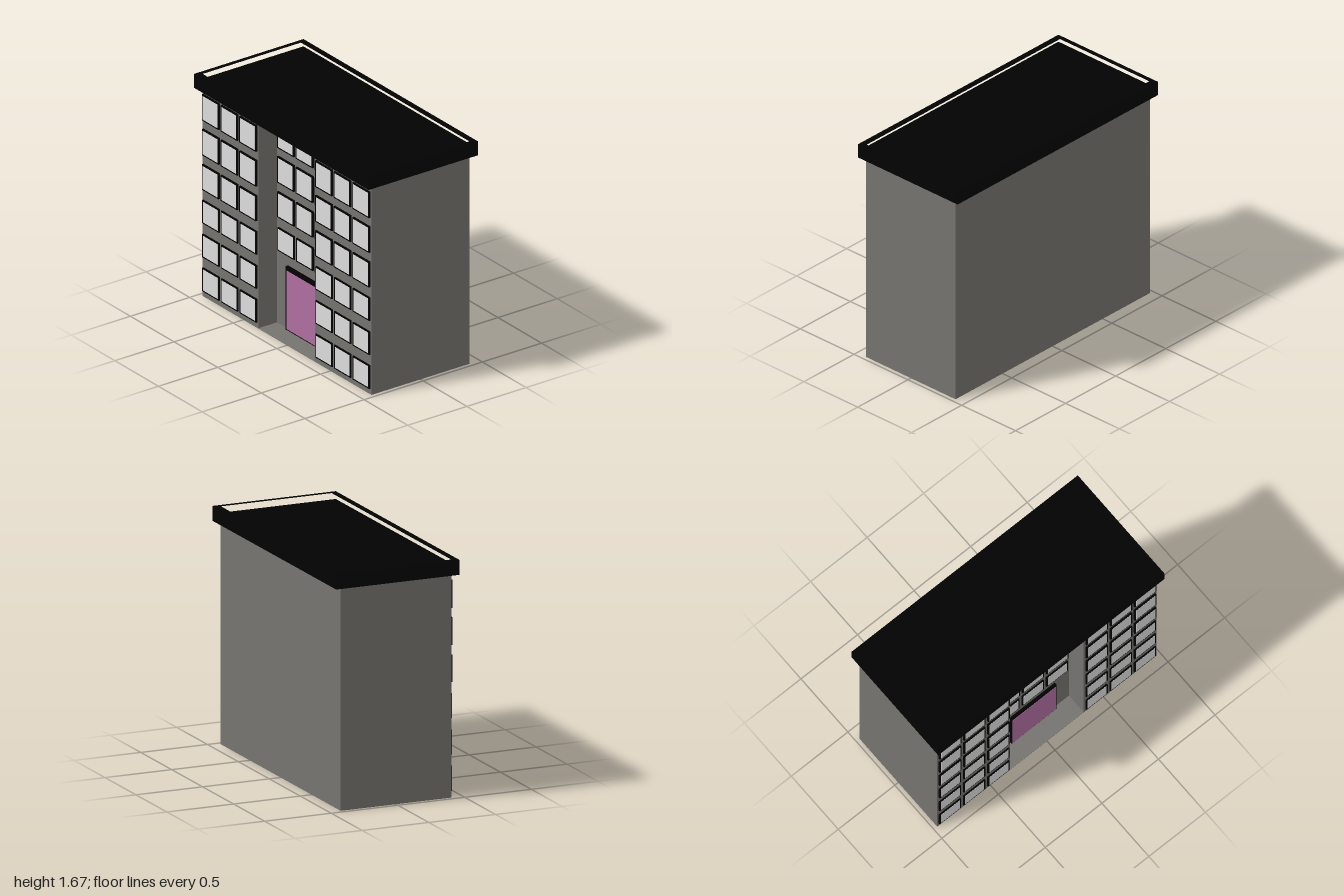
import * as THREE from 'three';

const mat = (name, color) => {
  const m = new THREE.MeshStandardMaterial({ color });
  m.name = name;
  return m;
};

export function createModel() {
  const wall = mat('concrete', 0x76746f);
  const black = mat('black', 0x020202);
  const glass = mat('paleGlass', 0xdcdcdc);
  const plum = mat('plumDoor', 0xb06fa0);

  const model = new THREE.Group();
  model.name = 'apartmentBlock';

  // box given by its limits on each axis
  const box = (parent, name, material, [x0, x1], [y0, y1], [z0, z1]) => {
    const mesh = new THREE.Mesh(new THREE.BoxGeometry(x1 - x0, y1 - y0, z1 - z0), material);
    mesh.position.set((x0 + x1) / 2, (y0 + y1) / 2, (z0 + z1) / 2);
    mesh.name = name;
    parent.add(mesh);
  };

  // footprint of [x, z] points raised from y0 to y1, with an optional hole
  const raise = (name, material, points, y0, y1, hole) => {
    const toPlan = (list) => list.map(([x, z]) => new THREE.Vector2(x, -z));
    const shape = new THREE.Shape(toPlan(points));
    if (hole) shape.holes.push(new THREE.Path(toPlan(hole)));
    const geo = new THREE.ExtrudeGeometry(shape, { depth: y1 - y0, bevelEnabled: false });
    const mesh = new THREE.Mesh(geo.rotateX(-Math.PI / 2), material);
    mesh.position.y = y0;
    mesh.name = name;
    model.add(mesh);
  };
  const rect = (x, z) => [[-x, -z], [x, -z], [x, z], [-x, z]];

  const X = 0.415, Z = 0.97, H = 1.57;   // wall limits
  const RX = -0.258, RZ = 0.325;         // entrance recess back and half width

  // walls with a full-height recess on the -x side, and the recess floor
  raise('walls', wall, [
    [-X, -Z], [X, -Z], [X, Z], [-X, Z], [-X, RZ], [RX, RZ], [RX, -RZ], [-X, -RZ],
  ], 0, H);
  box(model, 'recessFloor', wall, [-X, RX], [0, 0.004], [-RZ, RZ]);

  // overhanging roof: sunken deck inside a low parapet
  const deck = 1.62;
  box(model, 'roofDeck', black, [-0.462, 0.462], [H, deck], [-1, 1]);
  raise('parapet', black, rect(0.462, 1), deck, 1.675, rect(0.415, 0.965));

  // a window: black frame with a pale pane, fixed to the wall at x
  const addWindow = (x, [y0, y1, depth], z) => {
    const g = new THREE.Group();
    g.name = 'window';
    box(g, 'windowFrame', black, [x - depth, x], [y0, y1], [z - 0.095, z + 0.095]);
    box(g, 'windowPane', glass, [x - depth - 0.001, x - depth + 0.003],
      [y0 + 0.01, y1 - 0.01], [z - 0.084, z + 0.084]);
    model.add(g);
  };

  // rows as bottom, top and frame depth; the upper three are larger
  const rows = [
    [0.042, 0.22, 0.01], [0.298, 0.474, 0.01], [0.555, 0.731, 0.01],
    [0.808, 1.001, 0.013], [1.069, 1.267, 0.013], [1.331, 1.529, 0.013],
  ];

  // three columns of windows on each wing
  for (const row of rows)
    for (const side of [-1, 1])
      for (const z of [0.434, 0.648, 0.862]) addWindow(-X, row, side * z);

  // windows above the entrance
  for (const row of rows.slice(2))
    for (const z of [-0.214, 0, 0.214]) addWindow(RX, row, z);

  // entrance door
  const door = new THREE.Group();
  door.name = 'entrance';
  box(door, 'doorFrame', black, [RX - 0.02, RX], [0.004, 0.482], [-0.2, 0.2]);
  box(door, 'doorPanel', plum, [RX - 0.022, RX - 0.018], [0.012, 0.453], [-0.19, 0.19]);
  model.add(door);

  return model;
}
